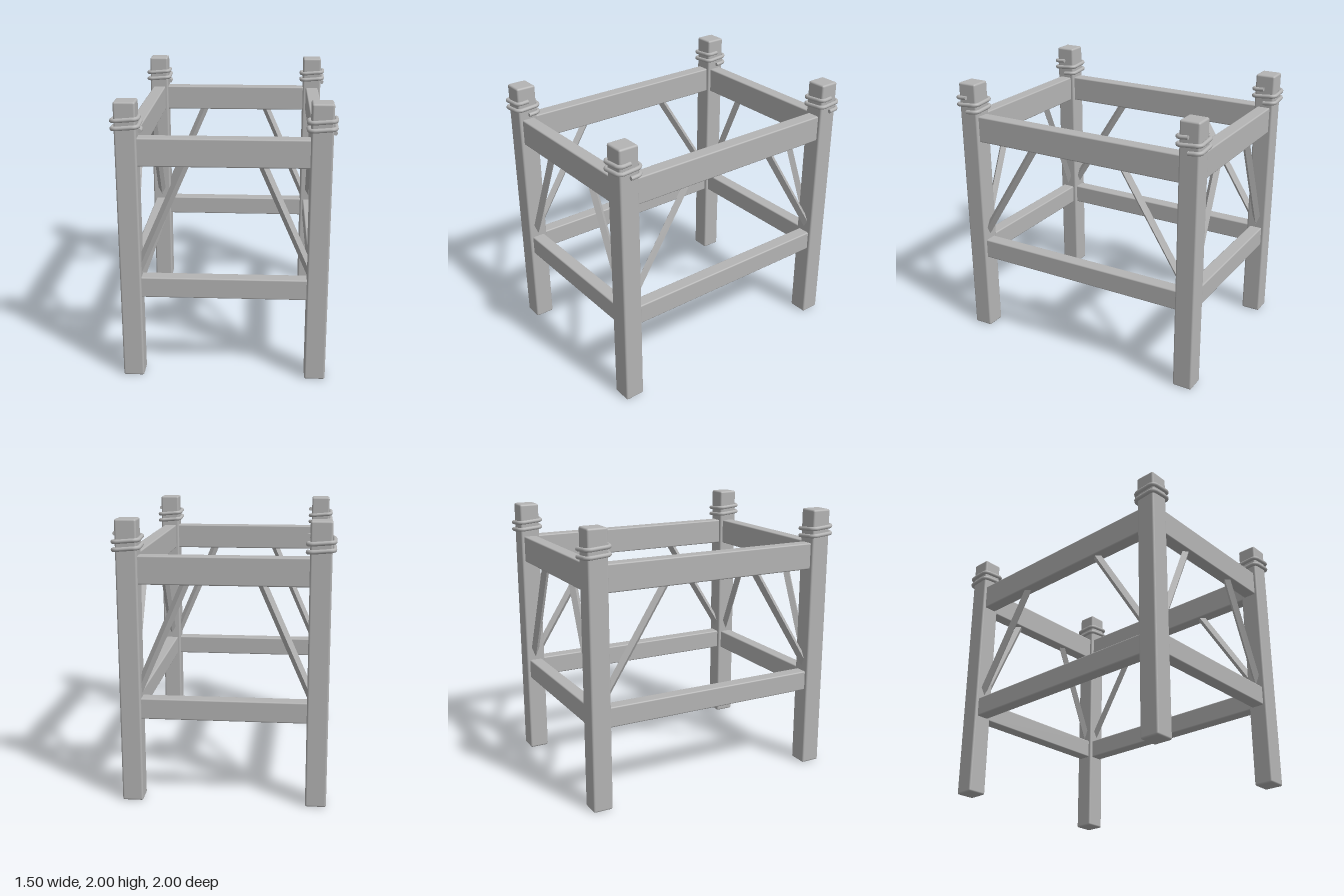
import * as THREE from 'three';
import { RoundedBoxGeometry } from 'three/addons/geometries/RoundedBoxGeometry.js';

const PX = 0.648, PZ = 0.897, POST = 0.147, BEAM = 0.1;

// Square coil with rounded corners, winding upwards around a post
class SquareHelix extends THREE.Curve {
  constructor(half, corner, turns, y0, y1) {
    super();
    Object.assign(this, { half, corner, turns, y0, y1 });
  }
  getPoint(t, target = new THREE.Vector3()) {
    const { half, corner, turns, y0, y1 } = this;
    const flat = half - corner, arc = corner * Math.PI / 2, side = 2 * flat + arc;
    let s = t * turns * 4 * side;
    const quarter = Math.floor(s / side);
    s -= quarter * side;
    let x = half, z = -s;
    if (s > flat && s < flat + arc) {
      const a = (s - flat) / corner;
      x = flat + corner * Math.cos(a);
      z = -flat - corner * Math.sin(a);
    } else if (s >= flat + arc) {
      x = flat - (s - flat - arc);
      z = -half;
    }
    const a = quarter * Math.PI / 2, c = Math.round(Math.cos(a)), n = Math.round(Math.sin(a));
    return target.set(x * c + z * n, y0 + (y1 - y0) * t, z * c - x * n);
  }
}

export function createModel() {
  const model = new THREE.Group();
  model.name = 'timberFrame';
  const grey = new THREE.MeshStandardMaterial({ color: 0xb4b4b4 });
  grey.name = 'plain grey';

  const add = (name, geometry, x, y, z, parent = model) => {
    const mesh = new THREE.Mesh(geometry, grey);
    mesh.name = name;
    mesh.position.set(x, y, z);
    parent.add(mesh);
    return mesh;
  };

  // Posts with a rope binding near each top
  const postGeo = new RoundedBoxGeometry(POST, 2, POST, 3, 0.014);
  const R = 0.015;
  const coil = new SquareHelix(0.0875, 0.035, 2, 1.79, 1.896);
  const ropeGeo = new THREE.TubeGeometry(coil, 160, R, 10, false);
  const capGeo = new THREE.CircleGeometry(R, 10);
  for (const x of [-PX, PX]) for (const z of [-PZ, PZ]) {
    add('post', postGeo, x, 1, z);
    const rope = new THREE.Group();
    rope.name = 'ropeBinding';
    rope.position.set(x, 0, z);
    model.add(rope);
    add('ropeCoil', ropeGeo, 0, 0, 0, rope);
    add('ropeLowerEnd', capGeo, 0.0875, 1.79, 0, rope);
    add('ropeUpperEnd', capGeo, 0.0875, 1.896, 0, rope).rotation.y = Math.PI;
  }

  // Upper and lower rails on all four sides
  for (const [name, y0, y1] of [['upperRail', 1.558, 1.754], ['lowerRail', 0.606, 0.755]]) {
    const h = y1 - y0, y = (y0 + y1) / 2;
    const across = new RoundedBoxGeometry(2 * PX - POST + 0.02, h, BEAM, 3, 0.01);
    const along = new RoundedBoxGeometry(BEAM, h, 2 * PZ - POST + 0.02, 3, 0.01);
    for (const s of [-1, 1]) {
      add(name, across, 0, y, s * PZ);
      add(name, along, s * PX, y, 0);
    }
  }

  // Diagonal braces, set edge-on, from the posts up to the upper rails
  const up = new THREE.Vector3(0, 1, 0);
  const brace = (a, b) => {
    const dir = b.clone().sub(a), length = dir.length();
    const geo = new THREE.BoxGeometry(0.044, length, 0.044).rotateY(Math.PI / 4);
    const mid = a.clone().add(b).multiplyScalar(0.5);
    add('brace', geo, mid.x, mid.y, mid.z).quaternion.setFromUnitVectors(up, dir.normalize());
  };
  for (const s of [-1, 1]) for (const e of [-1, 1]) {
    brace(new THREE.Vector3(s * 0.61, 0.775, e * PZ), new THREE.Vector3(s * 0.243, 1.61, e * PZ));
    brace(new THREE.Vector3(e * PX, 0.785, s * 0.865), new THREE.Vector3(e * PX, 1.61, s * 0.344));
  }

  return model;
}
